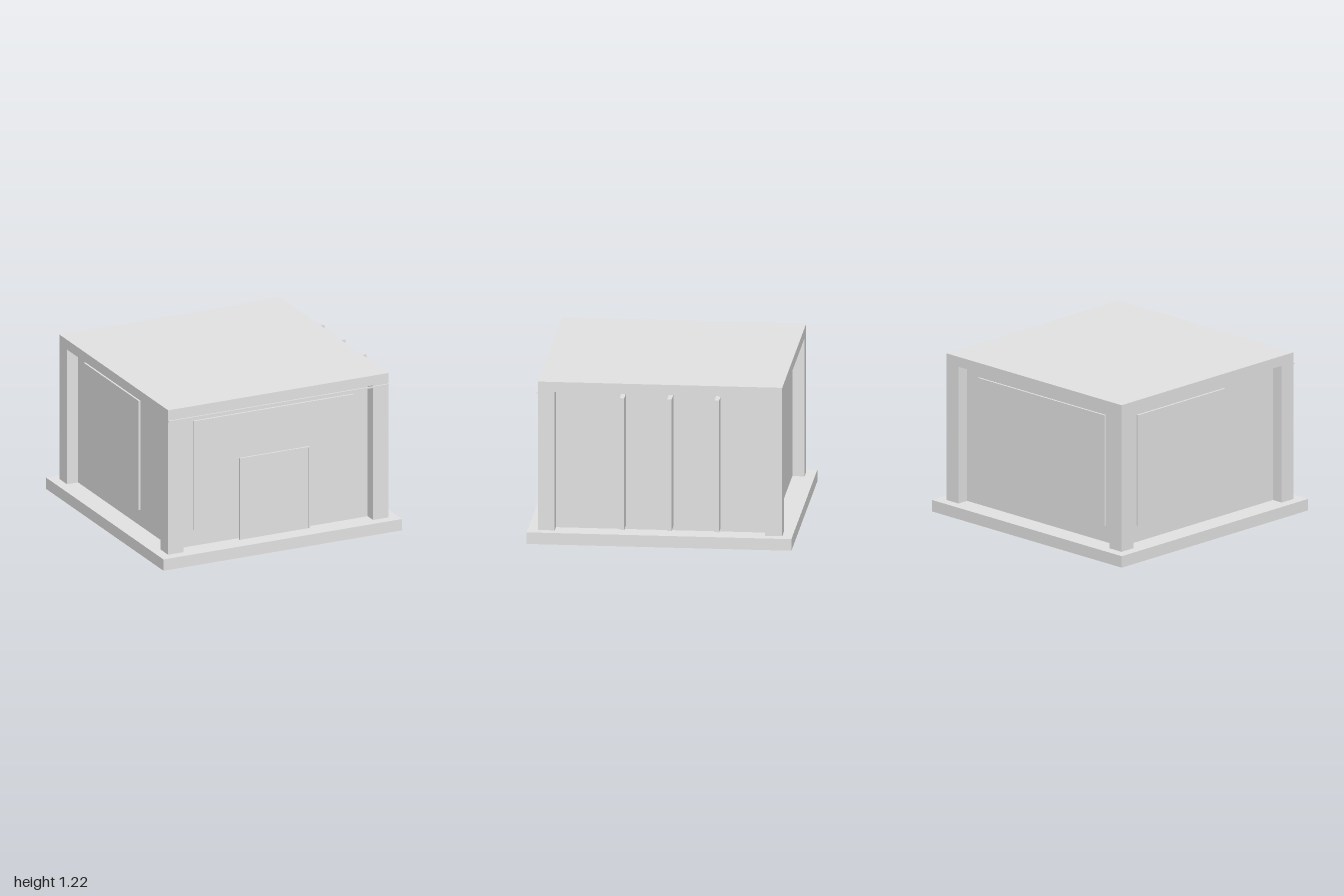
import * as THREE from 'three';

export function createModel() {
  const model = new THREE.Group();
  model.name = 'pavilion';
  const grey = new THREE.MeshStandardMaterial({ color: 0xe4e4e4, side: THREE.DoubleSide });
  grey.name = 'light grey';

  // Box given by its extents along each axis; only the listed faces are kept
  const order = ['+x', '-x', '+y', '-y', '+z', '-z'];
  function block(name, [x0, x1], [y0, y1], [z0, z1], faces = order) {
    const geometry = new THREE.BoxGeometry(x1 - x0, y1 - y0, z1 - z0);
    const all = Array.from(geometry.index.array);
    geometry.setIndex(faces.flatMap((f) => all.slice(order.indexOf(f) * 6, order.indexOf(f) * 6 + 6)));
    geometry.clearGroups();
    const mesh = new THREE.Mesh(geometry, grey);
    mesh.name = name;
    mesh.position.set((x0 + x1) / 2, (y0 + y1) / 2, (z0 + z1) / 2);
    model.add(mesh);
  }
  const sides = ['+x', '-x', '+z', '-z'];

  const floor = 0.088, eave = 1.139, top = 1.215;
  const outerX = [-0.925, 0.875], outerZ = [-0.9, 0.9];
  const post = 0.125, recess = 0.09;
  const innerX = [outerX[0] + post, outerX[1] - post];
  const innerZ = [outerZ[0] + post, outerZ[1] - post];
  const wallX = [outerX[0] + recess, outerX[1] - recess];
  const wallZ = [outerZ[0] + recess, outerZ[1] - recess];

  // Plinth, open underneath, and walls rising into the hollow roof
  block('basePlinth', [-1, 0.95], [0, floor], [-0.975, 0.975], [...sides, '+y']);
  block('walls', wallX, [floor, top], wallZ, sides);

  // Roof sheet with a thin fascia between the posts and no soffit
  block('roofSheet', outerX, [eave, top], outerZ, ['+y']);
  block('frontBackFascia', innerX, [eave, top], outerZ, ['+z', '-z']);
  block('sideFascia', outerX, [eave, top], innerZ, ['+x', '-x']);

  // Corner posts, flush with the roof edge
  for (const x of [outerX[0], innerX[1]])
    for (const z of [outerZ[0], innerZ[1]])
      block('cornerPost', [x, x + post], [floor, top], [z, z + post], sides);

  // Raised wall panels on the front, back and one side
  const panelX = [-0.675, 0.625], panelY = [0.214, 1.065], lift = 0.015;
  block('frontPanel', panelX, panelY, [wallZ[1], wallZ[1] + lift]);
  block('backPanel', panelX, panelY, [wallZ[0] - lift, wallZ[0]]);
  block('sidePanel', [wallX[0] - lift, wallX[0]], panelY, [-0.65, 0.26]);

  // Door leaf in a narrow frame, just clear of the front panel
  const doorX = [-0.315, 0.257], doorTop = 0.725, rim = 0.008, frameZ = [0.838, 0.851];
  block('doorLeaf', [doorX[0] + rim, doorX[1] - rim], [floor, doorTop - rim], [0.838, 0.846]);
  block('doorJamb', [doorX[0], doorX[0] + rim], [floor, doorTop], frameZ);
  block('doorJamb', [doorX[1] - rim, doorX[1]], [floor, doorTop], frameZ);
  block('doorHead', [doorX[0] + rim, doorX[1] - rim], [doorTop - rim, doorTop], frameZ);

  // Thin strip across the front under the roof
  block('frontStrip', outerX, [1.123, 1.133], [0.9, 0.911]);

  // Vertical sun fins standing clear of the side wall
  for (const z of [0.268, -0.081, -0.43])
    block('sunFin', [outerX[1], 1], [0.14, eave], [z - 0.017, z + 0.017]);

  return model;
}
